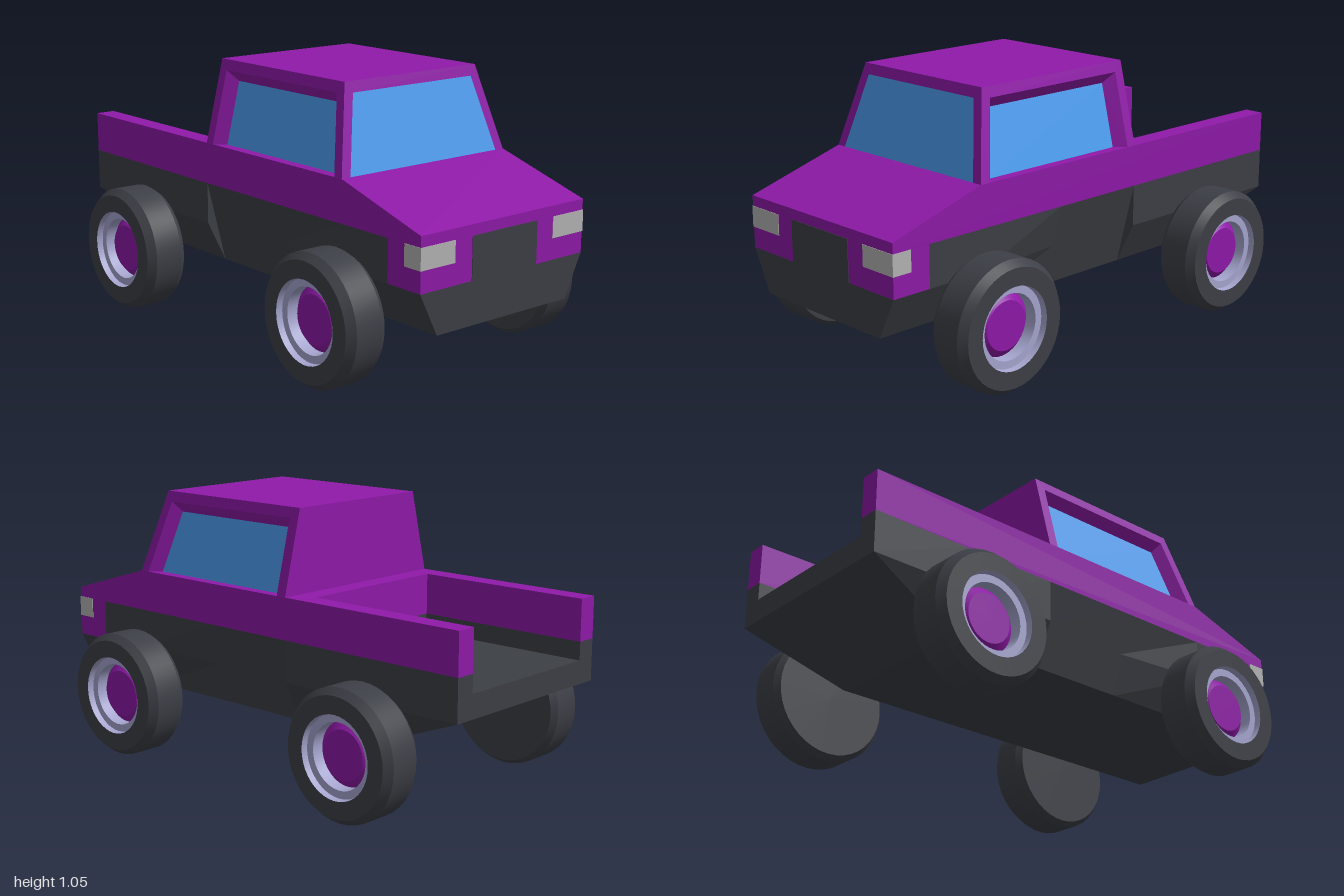
import * as THREE from 'three';
import { toCreasedNormals } from 'three/addons/utils/BufferGeometryUtils.js';

const material = (color) => new THREE.MeshStandardMaterial({ color });
const paint = material(0x8f1aa8);
const dark = material(0x3c3f45);
const rubber = material(0x3c3f46);
const glass = material(0x4d9df0);
const rimMetal = material(0xa6a6d0);
const lampGrey = material(0xb4b4b4);

// Flat convex polygons, corners counter-clockwise from outside
function panels(name, mat, polygons) {
  const pos = [];
  for (const p of polygons) {
    for (let i = 1; i < p.length - 1; i++) pos.push(...p[0], ...p[i], ...p[i + 1]);
  }
  const geo = new THREE.BufferGeometry();
  geo.setAttribute('position', new THREE.Float32BufferAttribute(pos, 3));
  geo.computeVertexNormals();
  const mesh = new THREE.Mesh(geo, mat);
  mesh.name = name;
  return mesh;
}

const mirror = (p) => p.map(([x, y, z]) => [-x, y, z]).reverse();
const both = (list) => [...list, ...list.map(mirror)];
// Full-width quad: half width, height and depth at its lower and upper edge
const span = ([x0, y0, z0], [x1, y1, z1]) =>
  [[-x0, y0, z0], [x0, y0, z0], [x1, y1, z1], [-x1, y1, z1]];
// The same, facing the rear
const rearSpan = (a, b) => span(a, b).reverse();
// Quads joining two closed loops of equal length
const ring = (outer, inner) => outer.map((p, i) => {
  const j = (i + 1) % outer.length;
  return [p, outer[j], inner[j], inner[i]];
});

const FLOOR = 0.5; // bed floor height

function lowerBody() {
  // Sections along the side: z, crease half width, bottom half width, bottom height
  const sections = [
    [1, 0.4, 0.32, 0.25], [0.84, 0.4, 0.32, 0.25], [0.6, 0.4, 0.32, 0.25],
    [0.2, 0.36, 0.32, 0.25], [-0.2, 0.36, 0.32, 0.25], [-0.2, 0.4, 0.32, 0.25],
    [-0.6, 0.4, 0.32, 0.25], [-1, 0.4, 0.4, 0.41],
  ];
  const sides = [];
  for (let i = 0; i < sections.length - 1; i++) {
    const [za, ma, xa, ya] = sections[i];
    const [zb, mb, xb, yb] = sections[i + 1];
    if (i > 0) sides.push([[ma, 0.41, za], [mb, 0.41, zb], [0.4, 0.57, zb], [0.4, 0.57, za]]);
    sides.push([[xa, ya, za], [xb, yb, zb], [mb, 0.41, zb], [ma, 0.41, za]]);
  }
  // Bed inner skirts and tail posts
  sides.push([[0.32, FLOOR, -1], [0.32, FLOOR, -0.28], [0.32, 0.57, -0.28], [0.32, 0.57, -1]]);
  sides.push([[0.4, FLOOR, -1], [0.32, FLOOR, -1], [0.32, 0.57, -1], [0.4, 0.57, -1]]);
  return panels('lowerBody', dark, [
    ...both(sides),
    span([0.32, 0.25, 1], [0.4, 0.41, 1]), // chin
    span([0.32, 0.25, -0.6], [0.32, 0.25, 1]), // underside
    span([0.4, 0.41, -1], [0.32, 0.25, -0.6]), // rear slope
    rearSpan([0.4, 0.41, -1], [0.4, FLOOR, -1]), // tail
    span([0.32, FLOOR, -0.28], [0.32, FLOOR, -1]), // bed floor
    rearSpan([0.32, FLOOR, -0.28], [0.32, 0.57, -0.28]),
  ]);
}

function upperBody() {
  const sides = [
    [[0.4, 0.57, 1], [0.4, 0.57, -1], [0.4, 0.73, -1], [0.4, 0.73, 0.6], [0.4, 0.61, 1]],
    [[0.4, 0.41, 1], [0.4, 0.41, 0.84], [0.4, 0.57, 0.84], [0.4, 0.57, 1]], // nose side
    [[0.32, 0.57, -1], [0.32, 0.57, -0.28], [0.32, 0.73, -0.28], [0.32, 0.73, -1]], // bed wall
    [[0.32, 0.73, -0.28], [0.4, 0.73, -0.28], [0.4, 0.73, -1], [0.32, 0.73, -1]], // rail
    [[0.4, 0.57, -1], [0.32, 0.57, -1], [0.32, 0.73, -1], [0.4, 0.73, -1]], // rail end
  ];
  return panels('upperBody', paint, [
    ...both(sides),
    span([0.4, 0.41, 1], [0.4, 0.61, 1]), // nose
    span([0.4, 0.61, 1], [0.4, 0.73, 0.6]), // hood
    span([0.4, 0.73, -0.2], [0.4, 0.73, -0.28]), // shelf behind cab
    rearSpan([0.32, 0.57, -0.28], [0.32, 0.73, -0.28]), // bulkhead
  ]);
}

function cab() {
  const group = new THREE.Group();
  group.name = 'cab';
  // Side loops lie on the leaning cab side, optionally sunk inwards
  const loop = (points, sunk = 0) =>
    points.map(([y, z]) => [0.4 - (y - 0.73) * 0.25 - sunk, y, z]);
  const outline = loop([[0.73, 0.6], [0.73, -0.2], [1.05, -0.2], [1.05, 0.52]]);
  const opening = loop([[0.73, 0.56], [0.73, -0.16], [1.01, -0.16], [1.01, 0.49]]);
  const pane = loop([[0.73, 0.52], [0.73, -0.12], [0.97, -0.12], [0.97, 0.46]], 0.04);
  const shieldFrame = span([0.4, 0.73, 0.6], [0.32, 1.05, 0.52]);
  const shield = span([0.36, 0.73, 0.6], [0.29, 1.01, 0.53]);
  group.add(
    panels('cabShell', paint, [
      ...both([...ring(outline, opening).slice(1), ...ring(opening, pane)]),
      ...ring(shieldFrame, shield).slice(1),
      span([0.32, 1.05, 0.52], [0.32, 1.05, -0.2]), // roof
      rearSpan([0.4, 0.73, -0.2], [0.32, 1.05, -0.2]), // back wall
    ]),
    panels('sideWindows', glass, both([pane])),
    panels('windshield', glass, [shield]),
  );
  return group;
}

// Ring turned about the x axis from [radius, x] points
function turned(name, mat, points) {
  const lathe = new THREE.LatheGeometry(points.map(([r, x]) => new THREE.Vector2(r, x)), 40);
  lathe.rotateZ(-Math.PI / 2);
  const mesh = new THREE.Mesh(toCreasedNormals(lathe, 0.5), mat);
  mesh.name = name;
  return mesh;
}

function wheel(name, side, z) {
  const group = new THREE.Group();
  group.name = name;
  group.add(
    turned('tire', rubber, [[0, 0.4], [0.228, 0.4], [0.246, 0.425], [0.246, 0.54], [0.222, 0.57], [0.155, 0.57]]),
    turned('rim', rimMetal, [[0.155, 0.57], [0.152, 0.545], [0.123, 0.545], [0.12, 0.5]]),
    turned('hub', paint, [[0.12, 0.5], [0.092, 0.525], [0, 0.525]]),
  );
  group.position.set(0, 0.246, z);
  if (side < 0) group.rotation.y = Math.PI;
  return group;
}

function box(name, mat, w, h, d, x, y, z) {
  const mesh = new THREE.Mesh(new THREE.BoxGeometry(w, h, d), mat);
  mesh.name = name;
  mesh.position.set(x, y, z);
  return mesh;
}

export function createModel() {
  const model = new THREE.Group();
  model.name = 'pickupTruck';
  model.add(lowerBody(), upperBody(), cab());
  model.add(box('grille', dark, 0.32, 0.16, 0.02, 0, 0.49, 0.992));
  for (const side of [1, -1]) {
    const label = side > 0 ? 'Left' : 'Right';
    model.add(box('headlight' + label, lampGrey, 0.16, 0.08, 0.08, side * 0.322, 0.53, 0.962));
    model.add(wheel('frontWheel' + label, side, 0.6), wheel('rearWheel' + label, side, -0.6));
  }
  return model;
}
